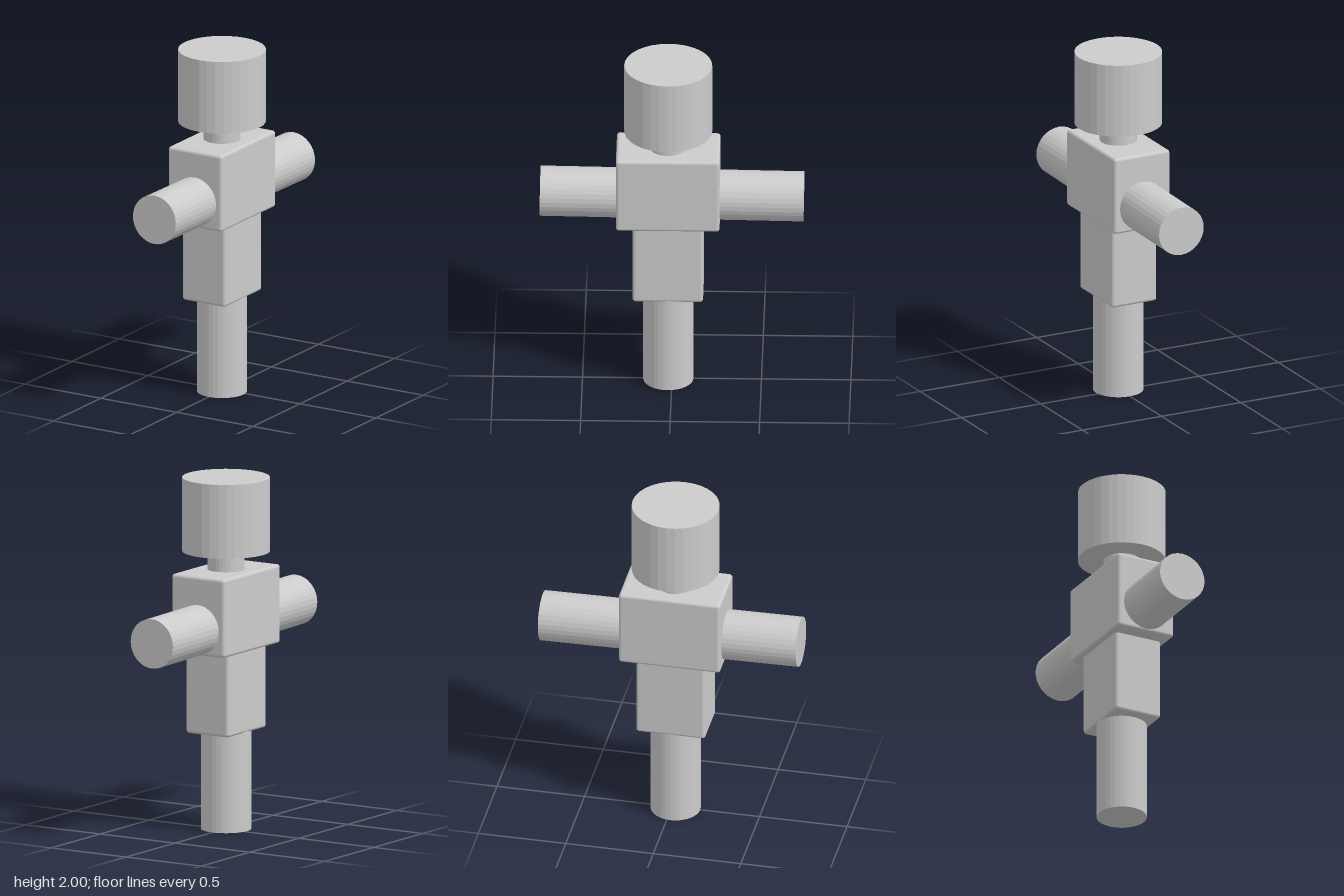
import * as THREE from 'three';
import { RoundedBoxGeometry } from 'three/addons/geometries/RoundedBoxGeometry.js';

export function createModel() {
  const model = new THREE.Group();
  const smooth = new THREE.MeshStandardMaterial({ color: 0xcccccc });
  const faceted = new THREE.MeshStandardMaterial({ color: 0xcccccc, flatShading: true });
  const axisZ = 0.021; // the upright parts share one axis

  function add(name, geometry, material, y, z) {
    const mesh = new THREE.Mesh(geometry, material);
    mesh.name = name;
    mesh.position.set(0, y, z);
    model.add(mesh);
    return mesh;
  }

  // Upright cylinder between two heights
  function post(name, radius, y0, y1) {
    return add(name, new THREE.CylinderGeometry(radius, radius, y1 - y0, 32), faceted, (y0 + y1) / 2, axisZ);
  }

  // Block with softly rounded edges between two heights
  function block(name, width, depth, y0, y1) {
    return add(name, new RoundedBoxGeometry(width, y1 - y0, depth, 4, 0.018), smooth, (y0 + y1) / 2, axisZ);
  }

  // Leg, body and head stacked on the axis
  post('leg', 0.141, 0, 0.58);
  block('lowerBody', 0.285, 0.395, 0.56, 1.06);
  block('upperBody', 0.354, 0.58, 1.03, 1.477);
  post('neck', 0.104, 1.45, 1.6);
  post('head', 0.246, 1.58, 2);

  // Crossbar running front to back, its rear end slightly lower
  const bar = add('crossbar', new THREE.CylinderGeometry(0.141, 0.141, 1.474, 32), faceted, 1.18, 0);
  bar.rotation.x = Math.PI / 2 - 0.0136;

  return model;
}
